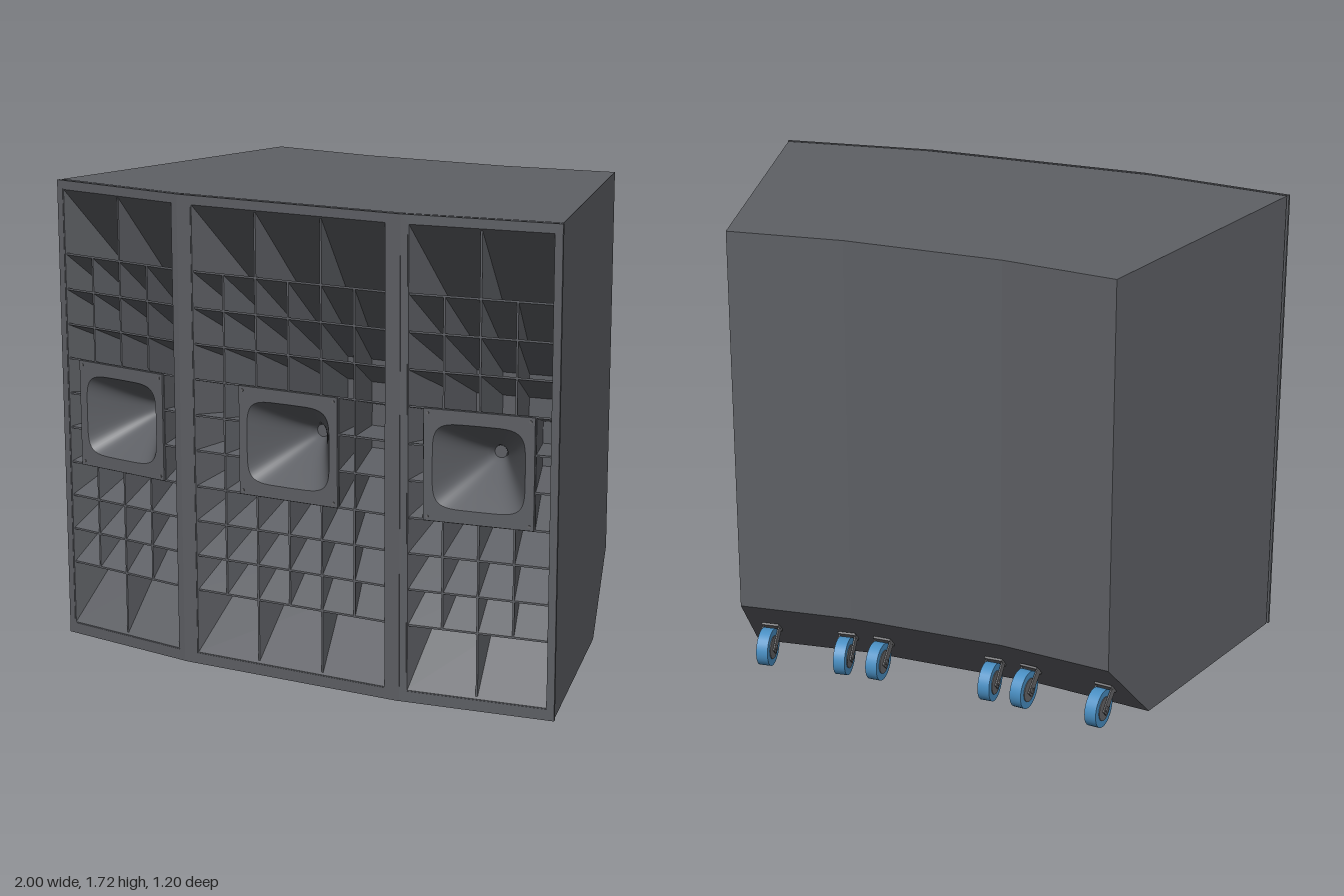
import * as THREE from 'three';
import { ParametricGeometry } from 'three/addons/geometries/ParametricGeometry.js';

const mat = (name, color) => new THREE.MeshStandardMaterial({ name, color, side: THREE.DoubleSide });
const H = 1.72, YC = 0.865, DEPTH = 0.26;   // cabinet height, horn centre height, horn depth
const KX = 0.74, KY = 0.62;                 // how much the horn narrows toward its back

export function createModel() {
  const grey = mat('cabinet grey', 0x5e6065);
  const blue = mat('wheel blue', 0x4a90c4);
  const steel = mat('caster grey', 0x68686b);
  const model = new THREE.Group();

  const add = (parent, name, geo, material, x = 0, y = 0, z = 0) => {
    const m = new THREE.Mesh(geo, material);
    m.name = name;
    m.position.set(x, y, z);
    parent.add(m);
    return m;
  };

  // Open-fronted cabinet shell: chamfered side profile swept between two plan edges [front, back]
  function shell(left, right) {
    const profile = [[0, 0], [0, H], [1, H], [1, 0.28], [0.755, 0]];
    const pts = [left, right].flatMap(([f, b]) => profile.map(([t, y]) =>
      [f[0] + (b[0] - f[0]) * t, y, f[1] + (b[1] - f[1]) * t]));
    const idx = [];
    for (let i = 1; i < 5; i++) {
      const j = (i + 1) % 5;
      idx.push(i, i + 5, j + 5, i, j + 5, j);
    }
    for (let i = 1; i < 4; i++) idx.push(0, i, i + 1, 5, i + 6, i + 5);
    const g = new THREE.BufferGeometry();
    g.setAttribute('position', new THREE.Float32BufferAttribute(pts.flat(), 3));
    g.setIndex(idx);
    const flat = g.toNonIndexed();
    flat.computeVertexNormals();
    return flat;
  }

  // Board running front to back whose rear edge converges on the horn axis
  function board(w, h, x, y, setback = 0.008) {
    const g = new THREE.BoxGeometry(w, h, DEPTH - setback).toNonIndexed();
    g.translate(x, y, -(DEPTH + setback) / 2);
    const p = g.attributes.position;
    for (let i = 0; i < p.count; i++) {
      if (p.getZ(i) < -DEPTH / 2) p.setXY(i, p.getX(i) * KX, p.getY(i) * KY);
    }
    g.computeVertexNormals();
    return g;
  }

  // Rounded rectangle that turns into a circle as pow goes to 2
  const loopPoint = (a, rx, ry, pow) => {
    const c = Math.cos(a), s = Math.sin(a);
    return new THREE.Vector2(rx * Math.sign(c) * Math.abs(c) ** (2 / pow),
      ry * Math.sign(s) * Math.abs(s) ** (2 / pow));
  };

  // Flat panel with one hole, front at z = 0
  function panel(w, y0, y1, hole) {
    const s = new THREE.Shape([[-w, y0], [w, y0], [w, y1], [-w, y1]].map(p => new THREE.Vector2(...p)));
    s.holes.push(new THREE.Path(hole));
    return new THREE.ExtrudeGeometry(s, { depth: 0.012, bevelEnabled: false }).translate(0, 0, -0.012);
  }

  // Front of one cabinet: frame, horn cells and central driver horn
  function hornFront(name, frameW, openW, fins, longFins) {
    const g = new THREE.Group();
    g.name = name;
    const oh = 0.825, hw = 0.197, t = 0.007;
    const rect = [[-openW, -oh], [-openW, oh], [openW, oh], [openW, -oh]].map(p => new THREE.Vector2(...p));
    add(g, 'frontFrame', panel(frameW, -YC, H - YC, rect), grey);
    add(g, 'hornBack', new THREE.BoxGeometry(openW * 2 * KX, oh * 2 * KY, 0.006), grey, 0, 0, -DEPTH);
    for (const s of [-1, 1]) {
      // outer horn walls
      add(g, 'hornSideWall', board(t, oh * 2, s * openW, 0, 0.002), grey);
      add(g, 'hornEndWall', board(openW * 2, t, 0, s * oh, 0.002), grey);
      // shelves
      for (const y of [0.585, 0.455, 0.325, hw]) add(g, 'shelf', board(openW * 2, t, 0, s * y), grey);
      // upright fins in the short rows and in the tall end cells
      for (const x of fins) add(g, 'fin', board(t, 0.585 - hw, x, s * (0.585 + hw) / 2), grey);
      for (const x of longFins) add(g, 'longFin', board(t, oh - 0.585, x, s * (oh + 0.585) / 2), grey);
      // small cells on both sides of the driver horn
      add(g, 'driverSideWall', board(t, hw * 2, s * hw, 0), grey);
      for (const y of [-0.065, 0.065])
        add(g, 'sideShelf', board(openW - hw, t, s * (openW + hw) / 2, y), grey);
      if (openW > 0.3) add(g, 'sideFin', board(t, hw * 2, s * 0.262, 0), grey);
      // fixing screws
      for (const v of [-1, 1])
        add(g, 'screw', new THREE.CylinderGeometry(0.005, 0.005, 0.004, 10).rotateX(Math.PI / 2),
          steel, s * 0.182, v * 0.182, 0.001);
    }
    // driver plate, flared throat and throat end
    const mouth = Array.from({ length: 48 }, (_, i) => loopPoint(-i / 24 * Math.PI, 0.165, 0.15, 5));
    add(g, 'driverPlate', panel(hw, -hw, hw, mouth), grey);
    const flare = (u, v, out) => {
      const f = (1 - v) ** 1.15;
      const p = loopPoint(u * Math.PI * 2, 0.022 + 0.143 * f, 0.022 + 0.128 * f, 2 + 3 * f);
      out.set(p.x, p.y, -v * (DEPTH - 0.005));
    };
    add(g, 'driverHorn', new ParametricGeometry(flare, 48, 8), grey);
    add(g, 'driverThroat', new THREE.CircleGeometry(0.023, 24), grey, 0, 0, 0.006 - DEPTH);
    model.add(g);
    return g;
  }

  // Caster hanging square to the rear chamfer
  function caster(x, angle) {
    const g = new THREE.Group();
    g.name = 'caster';
    const back = -0.55 - 0.119 * Math.max(0, Math.abs(x) - 0.29);
    g.position.set(x, 0.14, back + 0.135);
    g.rotation.set(Math.PI / 4, angle, 0, 'YXZ');
    const disc = (r, w) => new THREE.CylinderGeometry(r, r, w, 32).rotateZ(Math.PI / 2);
    add(g, 'wheel', disc(0.07, 0.044), blue, 0, -0.08);
    add(g, 'hub', disc(0.044, 0.05), steel, 0, -0.08);
    add(g, 'axle', disc(0.01, 0.074), steel, 0, -0.08);
    add(g, 'mountPlate', new THREE.BoxGeometry(0.066, 0.008, 0.06), steel, 0, -0.003);
    for (const s of [-1, 1])
      add(g, 'fork', new THREE.BoxGeometry(0.005, 0.1, 0.034), steel, s * 0.03, -0.048);
    model.add(g);
  }

  // Centre cabinet
  add(model, 'centreCabinet', shell([[-0.44, 0.575], [-0.29, -0.55]], [[0.44, 0.575], [0.29, -0.55]]), grey);
  hornFront('centreFront', 0.44, 0.385, [-0.26, -0.13, 0, 0.13, 0.26], [-0.13, 0.13])
    .position.set(0, YC, 0.595);

  // Side cabinets, turned outward
  for (const s of [-1, 1]) {
    const inner = [[s * 0.44, 0.575], [s * 0.29, -0.55]];
    const outer = [[s * 0.99, 0.5], [s * 0.71, -0.6]];
    add(model, 'sideCabinet', s > 0 ? shell(inner, outer) : shell(outer, inner), grey);
    const front = hornFront('sideFront', 0.281, 0.256, [-0.128, 0, 0.128], [0]);
    front.position.set(s * 0.719, YC, 0.556);
    front.rotation.y = s * 0.133;
    caster(s * 0.22, 0);
    caster(s * 0.36, s * 0.119);
    caster(s * 0.655, s * 0.119);
  }
  return model;
}
